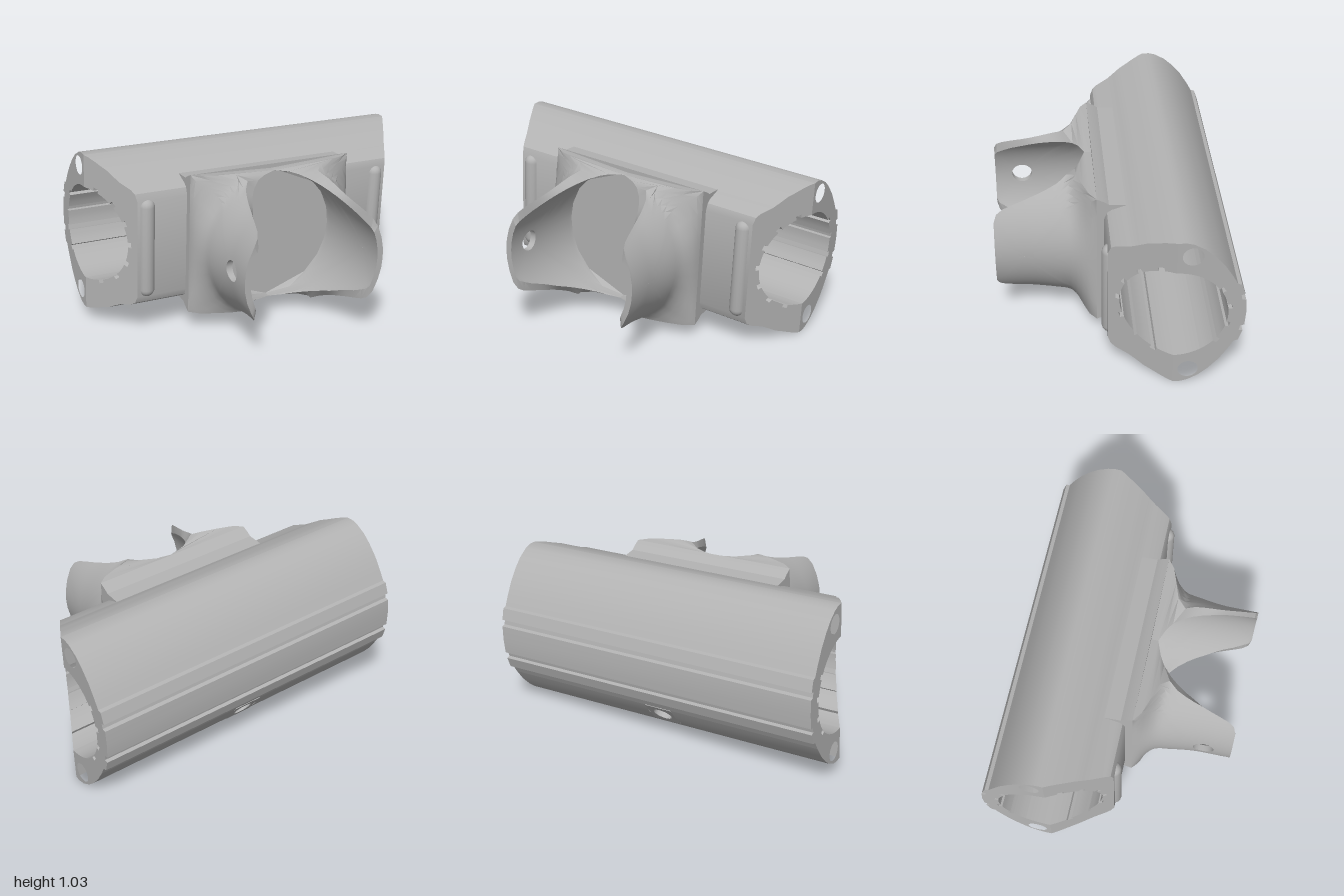
import * as THREE from 'three';
import { toCreasedNormals } from 'three/addons/utils/BufferGeometryUtils.js';

const CZ = -0.28; // bore axis depth
const END = 0.98; // half length of the clamp body

export function createModel() {
  const steel = new THREE.MeshStandardMaterial({ color: 0xb2b2b2 });
  steel.name = 'plain grey metal';
  const model = new THREE.Group();
  model.name = 'clampBracket';
  model.position.y = 0.515;
  model.rotation.z = -0.0436;

  const add = (name, geo, crease = 0.5) => {
    const mesh = new THREE.Mesh(toCreasedNormals(geo, crease), steel);
    mesh.name = name;
    model.add(mesh);
    return mesh;
  };

  // End faces are square behind the bore axis and bevelled in front of it
  const endAt = (z) => (z <= CZ ? END : END - (z - CZ) * 0.54);

  // Extrude a (z, y) outline along x, trimming the outer ends to the bevel
  function extrudeX(points, x0, x1, holes = []) {
    const shape = new THREE.Shape(points.map(([z, y]) => new THREE.Vector2(-z, y)));
    for (const [z, y, r] of holes) {
      shape.holes.push(new THREE.Path().absarc(-z, y, r, 0, Math.PI * 2, true));
    }
    const geo = new THREE.ExtrudeGeometry(shape, { depth: x1 - x0, bevelEnabled: false, curveSegments: 24 });
    geo.rotateY(Math.PI / 2).translate(x0, 0, 0);
    const p = geo.attributes.position;
    for (let i = 0; i < p.count; i++) {
      const x = p.getX(i);
      if (Math.abs(x) > 0.9) p.setX(i, Math.sign(x) * endAt(p.getZ(i)));
    }
    return geo;
  }

  // Splined bore: 60 cells of 6 degrees, some cut deeper as grooves
  const isGroove = (k) => k % 4 === 0 && !(k >= 14 && k <= 20) && !(k >= 40 && k <= 46);
  function boreArc(from, to) {
    const pts = [];
    for (let k = from - 1; k >= to; k--) {
      const r = isGroove(k % 60) ? 0.302 : 0.281;
      for (const a of [k + 1, k]) {
        const t = (a * Math.PI) / 30;
        pts.push([CZ + r * Math.cos(t), r * Math.sin(t)]);
      }
    }
    return pts;
  }
  const mirrorY = (pts) => pts.map(([z, y]) => [z, -y]).reverse();

  // Front half of the clamp body
  const frontTop = [[0.06, 0.29], [0.045, 0.33], [0.02, 0.348], [-0.05, 0.372], [-0.09, 0.395],
    [-0.13, 0.42], [-0.17, 0.435], [-0.21, 0.452], [-0.25, 0.466], [CZ, 0.472]];
  add('bodyFront', extrudeX([...mirrorY(frontTop), ...frontTop, ...boreArc(75, 45)], -END, END));

  // Back half, with rail steps, bolt channels and a gap for the drain hole strip
  const crown = [[CZ, 0.472], [-0.32, 0.474], [-0.36, 0.464], [-0.42, 0.43], [-0.47, 0.385]];
  const rails = [[-0.57, 0.25], [-0.6, 0.195], [-0.622, 0.19], [-0.643, 0.125],
    [-0.622, 0.12], [-0.628, 0.09], [-0.65, 0.085], [-0.655, 0]];
  const P1 = [-0.47, -0.385], P2 = [-0.57, -0.25];
  add('bodyBack', extrudeX([...crown, [-0.525, 0.321], ...rails, ...mirrorY(rails).slice(1), ...boreArc(37, 15)],
    -END, END, [[-0.36, 0.385, 0.055]]));
  add('bodyLower', extrudeX([...mirrorY(crown), ...boreArc(45, 40)], -END, END, [[-0.36, -0.385, 0.055]]));
  const strip = [P2, [-0.525, -0.321], P1, ...boreArc(40, 37)];
  add('lowerStripRight', extrudeX(strip, -END, -0.084));
  add('lowerStripLeft', extrudeX(strip, 0.084, END));

  // Plate with the drain hole, filling the gap in the strip
  const plate = new THREE.Shape([[-0.084, -0.084], [0.084, -0.084], [0.084, 0.084], [-0.084, 0.084]]
    .map(([x, y]) => new THREE.Vector2(x, y)));
  plate.holes.push(new THREE.Path().absarc(0, 0, 0.055, 0, Math.PI * 2, true));
  const plateGeo = new THREE.ExtrudeGeometry(plate, { depth: 0.113, bevelEnabled: false, curveSegments: 24 });
  plateGeo.translate(0, 0, -0.11);
  plateGeo.applyMatrix4(new THREE.Matrix4().makeBasis(new THREE.Vector3(1, 0, 0),
    new THREE.Vector3(0, -0.803, 0.595), new THREE.Vector3(0, -0.595, -0.803)));
  plateGeo.translate(0, -0.3175, -0.52);
  add('drainHolePlate', plateGeo);

  // Saddle block between body and fork; its front face is the socket floor
  const saddle = [[0.1, 0.42], [0.06, 0.4], [0.035, 0.382], [-0.07, 0.375], [0.03, 0.2]];
  add('saddle', extrudeX([...saddle, ...mirrorY(saddle)], -0.5, 0.5));

  // Rounded upright ribs beside the saddle
  for (const s of [-1, 1]) {
    const rib = new THREE.CapsuleGeometry(0.045, 0.5, 6, 16);
    rib.translate(s * 0.735, 0, 0.045);
    add(s > 0 ? 'ribLeft' : 'ribRight', rib, 0.8);
  }

  // Fork arms: a round socket inside, an outside flaring into the saddle.
  // Each row is [z, inner half height, outer half height].
  const rows = [[0.1, 0, 0], [0.1, 0.1, 0.1], [0.1, 0.2, 0.2], [0.1, 0.3, 0.31], [0.1, 0.395, 0.42],
    [0.14, 0.395, 0.423], [0.17, 0.387, 0.425], [0.2, 0.373, 0.424], [0.25, 0.352, 0.4],
    [0.3, 0.332, 0.37], [0.35, 0.313, 0.348], [0.4, 0.295, 0.328], [0.45, 0.273, 0.311],
    [0.5, 0.252, 0.295], [0.56, 0.23, 0.278], [0.61, 0.205, 0.262], [0.645, 0.185, 0.24],
    [0.66, 0.16, 0.2], [0.66, 0.11, 0.13], [0.66, 0.05, 0.06], [0.66, 0, 0]];
  const loop = [...rows, ...rows.slice(1, -1).reverse().map(([z, a, b]) => [z, -a, -b])];
  const S = 14, HZ = 0.5;
  const innerX = (z, y) => Math.sqrt(Math.max(0, 0.395 ** 2 - y * y));
  const outerX = (z, y) => {
    const t = THREE.MathUtils.smoothstep(z, 0.1, 0.25);
    const R = 0.43 + 0.035 * (1 - THREE.MathUtils.smoothstep(z, 0.15, 0.5));
    return THREE.MathUtils.lerp(0.5, Math.sqrt(Math.max(0.003, R * R - y * y)), t);
  };
  function armGeometry(side, holeRadius) {
    const pos = [], index = [], W = 2 * S + 2;
    for (const [z, hi, ho] of loop) {
      const a = Math.atan2(hi, z - HZ);
      const hz = HZ + holeRadius * Math.cos(a), hy = holeRadius * Math.sin(a);
      for (let i = 0; i < W; i++) {
        const inside = i <= S;
        const s = (inside ? i : W - 1 - i) / S;
        const pz = hz + (z - hz) * s;
        const py = hy + ((inside ? hi : ho) - hy) * s;
        pos.push(side * (inside ? innerX : outerX)(pz, py), py, pz);
      }
    }
    for (let j = 0; j < loop.length; j++) {
      const n = (j + 1) % loop.length;
      for (let i = 0; i < W; i++) {
        const k = (i + 1) % W;
        const a = j * W + i, b = n * W + i, c = n * W + k, d = j * W + k;
        if (side > 0) index.push(a, b, c, a, c, d);
        else index.push(a, c, b, a, d, c);
      }
    }
    const geo = new THREE.BufferGeometry();
    geo.setAttribute('position', new THREE.Float32BufferAttribute(pos, 3));
    geo.setIndex(index);
    return geo;
  }
  add('forkArmLeft', armGeometry(1, 0.002), 0.6);
  add('forkArmRight', armGeometry(-1, 0.06), 0.6);

  const root = new THREE.Group();
  root.name = 'bracket';
  root.add(model);
  return root;
}
